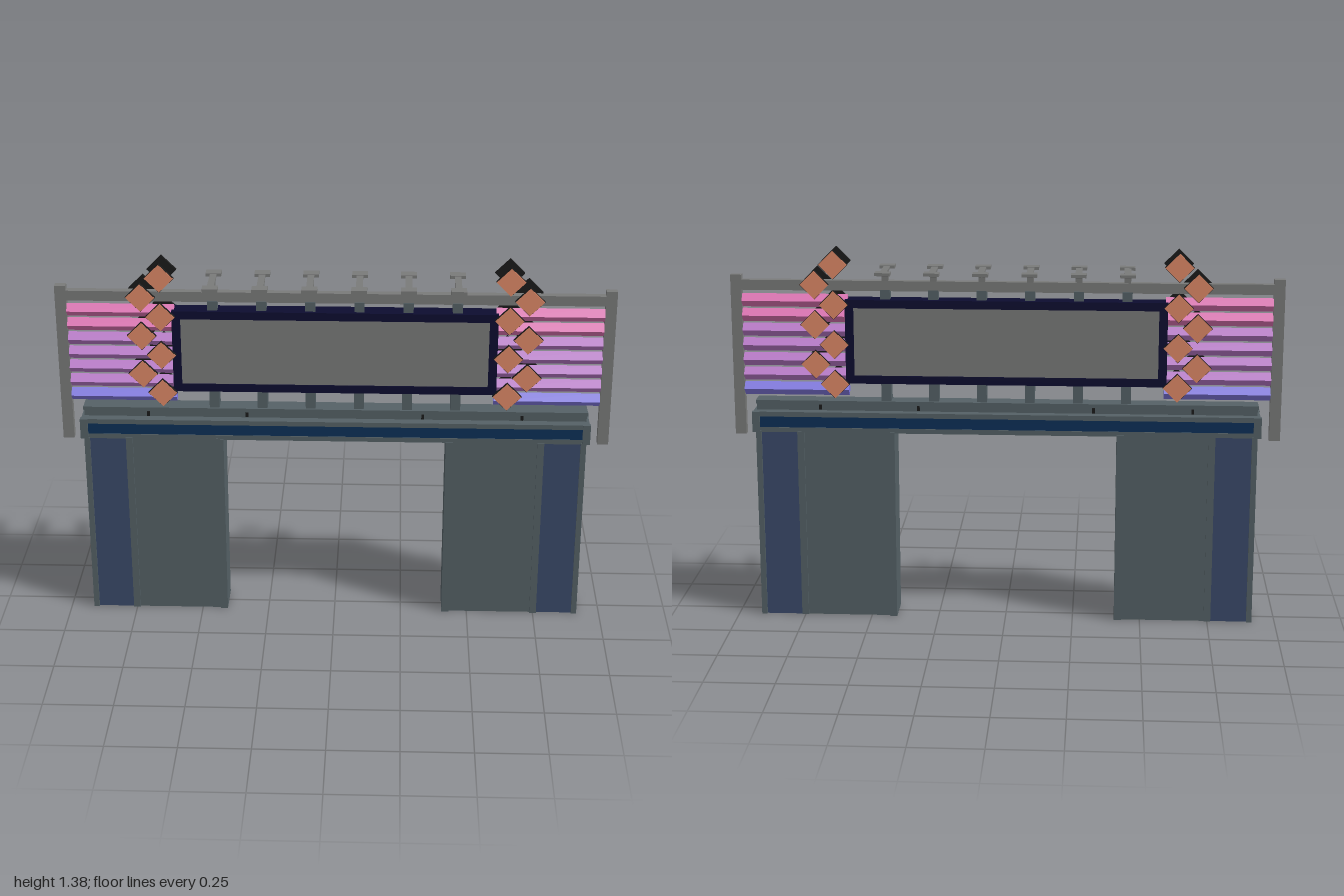
import * as THREE from 'three';

export function createModel() {
  const model = new THREE.Group();
  model.name = 'signGantry';

  const colours = {
    slate: 0x556166, panelBlue: 0x3a4a6a, grey: 0x7a7b7a, screenNavy: 0x0d0d30, bandBlue: 0x0c3058,
    orange: 0xe08a68, pink: 0xdc72b2, purple: 0xb878c8, violet: 0x8078e0, black: 0x1a1a1a,
  };
  const mat = {};
  for (const key in colours) {
    mat[key] = new THREE.MeshStandardMaterial({ color: colours[key] });
    mat[key].name = key;
  }

  const add = (name, geometry, material, parent = model) => {
    const mesh = new THREE.Mesh(geometry, material);
    mesh.name = name;
    parent.add(mesh);
    return mesh;
  };
  // Box given by its limits on each axis
  const box = (name, x0, x1, y0, y1, z0, z1, material, parent) => {
    const mesh = add(name, new THREE.BoxGeometry(Math.abs(x1 - x0), y1 - y0, Math.abs(z1 - z0)), material, parent);
    mesh.position.set((x0 + x1) / 2, (y0 + y1) / 2, (z0 + z1) / 2);
    return mesh;
  };

  for (const s of [-1, 1]) {
    // Hollow leg, open at the bottom: side walls, face panels and posts
    const leg = new THREE.Group();
    leg.name = s > 0 ? 'leftLeg' : 'rightLeg';
    model.add(leg);
    box('innerWall', s * 0.405, s * 0.412, 0, 0.71, -0.062, 0.062, mat.slate, leg);
    box('outerWall', s * 0.908, s * 0.915, 0, 0.71, -0.062, 0.062, mat.slate, leg);
    for (const f of [-1, 1]) {
      box('widePanel', s * 0.42, s * 0.75, 0, 0.71, f * 0.051, f * 0.058, mat.slate, leg);
      box('bluePanel', s * 0.75, s * 0.905, 0, 0.71, f * 0.051, f * 0.058, mat.panelBlue, leg);
      for (const [a, b] of [[0.405, 0.432], [0.738, 0.763], [0.895, 0.915]])
        box('legPost', s * a, s * b, 0, 0.71, f * 0.046, f * 0.066, mat.slate, leg);
    }

    // Tall end post
    box('endPost', s * 0.96, s, 0.685, 1.28, -0.014, 0.014, mat.grey);

    // Diamond-section coloured slats
    for (let i = 0; i < 7; i++) {
      const section = new THREE.Shape([
        new THREE.Vector2(0.025, 0), new THREE.Vector2(0, 0.0245),
        new THREE.Vector2(-0.025, 0), new THREE.Vector2(0, -0.0245),
      ]);
      const g = new THREE.ExtrudeGeometry(section, { depth: 0.385, bevelEnabled: false });
      g.translate(0, 0, -0.1925).rotateY(Math.PI / 2);
      const colour = i === 0 ? mat.violet : i < 5 ? mat.purple : mat.pink;
      add('slat', g, colour).position.set(s * 0.7675, 0.858 + i * 0.0547, 0);
    }

    // Zigzag of tilted square lamps on both faces
    for (const f of [-1, 1]) {
      for (let i = 0; i < 7; i++) {
        const lamp = new THREE.Group();
        lamp.name = 'lamp';
        lamp.position.set(s * (i % 2 ? 0.69 : 0.621), 0.886 + i * 0.0733, f * 0.046);
        lamp.rotation.z = Math.PI / 4;
        model.add(lamp);
        const h = 0.0375;
        box('lampBack', -h, h, -h, h, -0.006, 0.006, mat.black, lamp);
        box('lampFace', -h + 0.001, h - 0.001, -h + 0.001, h - 0.001, f * 0.006, f * 0.008, mat.orange, lamp);
      }
    }
  }

  // Cross beam with recessed blue band
  box('beamBottom', -0.925, 0.925, 0.706, 0.724, -0.062, 0.062, mat.slate);
  box('beamCore', -0.92, 0.92, 0.724, 0.764, -0.056, 0.056, mat.slate);
  box('beamTop', -0.925, 0.925, 0.764, 0.782, -0.062, 0.062, mat.slate);
  for (const f of [-1, 1]) {
    box('beamBand', -0.92, 0.92, 0.724, 0.764, f * 0.056, f * 0.06, mat.bandBlue);
    for (const s of [-1, 1])
      box('beamCorner', s * 0.9, s * 0.928, 0.706, 0.782, f * 0.045, f * 0.066, mat.slate);
  }

  // Rail on the beam
  box('railWeb', -0.915, 0.915, 0.782, 0.805, -0.028, 0.028, mat.slate);
  box('railFlange', -0.918, 0.918, 0.805, 0.819, -0.034, 0.034, mat.slate);
  for (const x of [-0.68, -0.32, 0.32, 0.68])
    box('railBolt', x - 0.005, x + 0.005, 0.785, 0.803, -0.033, 0.033, mat.black);

  // Framed screen, same on both faces
  box('screenBody', -0.575, 0.575, 0.89, 1.19, -0.026, 0.026, mat.screenNavy);
  const frame = new THREE.Shape();
  frame.moveTo(-0.583, 0.885).lineTo(0.583, 0.885).lineTo(0.583, 1.195).lineTo(-0.583, 1.195).closePath();
  const hole = new THREE.Path();
  hole.moveTo(-0.552, 0.915).lineTo(-0.552, 1.165).lineTo(0.552, 1.165).lineTo(0.552, 0.915).closePath();
  frame.holes.push(hole);
  const frameGeo = new THREE.ExtrudeGeometry(frame, { depth: 0.066, bevelEnabled: false });
  add('screenFrame', frameGeo, mat.screenNavy).position.z = -0.033;
  for (const f of [-1, 1])
    box('screenFace', -0.552, 0.552, 0.915, 1.165, f * 0.026, f * 0.03, mat.grey);

  // Top bar
  box('topBar', -0.96, 0.96, 1.225, 1.262, -0.014, 0.014, mat.grey);

  // Screen supports, with a double-armed floodlight above each
  const arm = new THREE.Shape();
  arm.moveTo(-0.01, 1.255).lineTo(0.01, 1.255).lineTo(0.011, 1.277);
  arm.quadraticCurveTo(0.014, 1.294, 0.035, 1.296).lineTo(0.065, 1.296).lineTo(0.065, 1.304);
  arm.lineTo(-0.065, 1.304).lineTo(-0.065, 1.296).lineTo(-0.035, 1.296);
  arm.quadraticCurveTo(-0.014, 1.294, -0.011, 1.277).closePath();
  for (let i = 0; i < 6; i++) {
    const x = -0.4375 + i * 0.175;
    box('lowerSupport', x - 0.018, x + 0.018, 0.815, 0.89, -0.025, 0.025, mat.slate);
    box('upperSupport', x - 0.018, x + 0.018, 1.19, 1.23, -0.02, 0.02, mat.slate);
    const g = new THREE.ExtrudeGeometry(arm, { depth: 0.024, bevelEnabled: false, curveSegments: 5 });
    g.translate(0, 0, -0.012).rotateY(Math.PI / 2);
    add('floodlightArm', g, mat.grey).position.x = x;
    for (const f of [-1, 1])
      box('floodlight', x - 0.028, x + 0.028, 1.295, 1.306, f * 0.06, f * 0.1, mat.grey);
  }

  return model;
}
